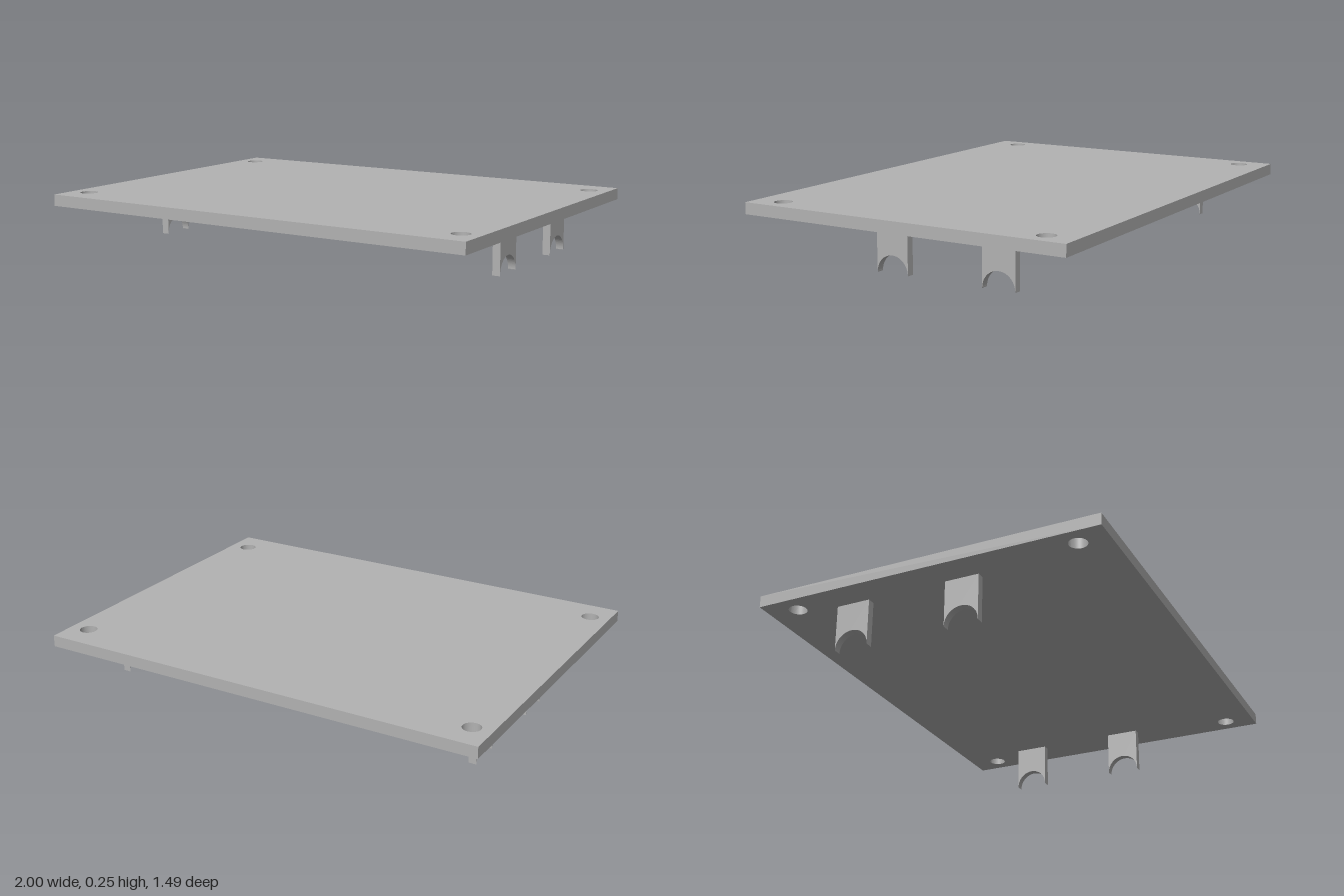
import * as THREE from 'three';

export function createModel() {
  const model = new THREE.Group();
  const grey = new THREE.MeshStandardMaterial({ color: 0xb2b2b2 });
  grey.name = 'grey';

  const plateBottom = 0.197, plateThickness = 0.05;
  const halfX = 1, halfZ = 0.745;

  // Flat plate with a round hole in each corner
  const outline = new THREE.Shape();
  outline.moveTo(-halfX, -halfZ);
  outline.lineTo(halfX, -halfZ);
  outline.lineTo(halfX, halfZ);
  outline.lineTo(-halfX, halfZ);
  outline.closePath();
  for (const sx of [-1, 1]) {
    for (const sz of [-1, 1]) {
      const hole = new THREE.Path();
      hole.absarc(sx * 0.915, sz * 0.617, 0.038, 0, Math.PI * 2, true);
      outline.holes.push(hole);
    }
  }
  const plateGeometry = new THREE.ExtrudeGeometry(outline, {
    depth: plateThickness, bevelEnabled: false, curveSegments: 32,
  });
  plateGeometry.rotateX(-Math.PI / 2);
  const plate = new THREE.Mesh(plateGeometry, grey);
  plate.name = 'plate';
  plate.position.y = plateBottom;
  model.add(plate);

  // Thin legs with a half-round saddle cut into the lower end
  const legWidth = 0.147, legThickness = 0.034, saddleRadius = 0.073;
  const profile = new THREE.Shape();
  profile.moveTo(legWidth / 2, 0);
  profile.lineTo(legWidth / 2, plateBottom);
  profile.lineTo(-legWidth / 2, plateBottom);
  profile.lineTo(-legWidth / 2, 0);
  profile.lineTo(-saddleRadius, 0.002);
  profile.absarc(0, 0.002, saddleRadius, Math.PI, 0, true);
  profile.closePath();
  const legGeometry = new THREE.ExtrudeGeometry(profile, {
    depth: legThickness, bevelEnabled: false, curveSegments: 32,
  });
  legGeometry.translate(0, 0, -legThickness / 2);
  legGeometry.rotateY(-Math.PI / 2);

  for (const [side, x] of [['left', 0.851], ['right', -0.853]]) {
    for (const [end, z] of [['Front', 0.108], ['Back', -0.383]]) {
      const leg = new THREE.Mesh(legGeometry, grey);
      leg.name = `${side}${end}SaddleLeg`;
      leg.position.set(x, 0, z);
      model.add(leg);
    }
  }

  return model;
}
